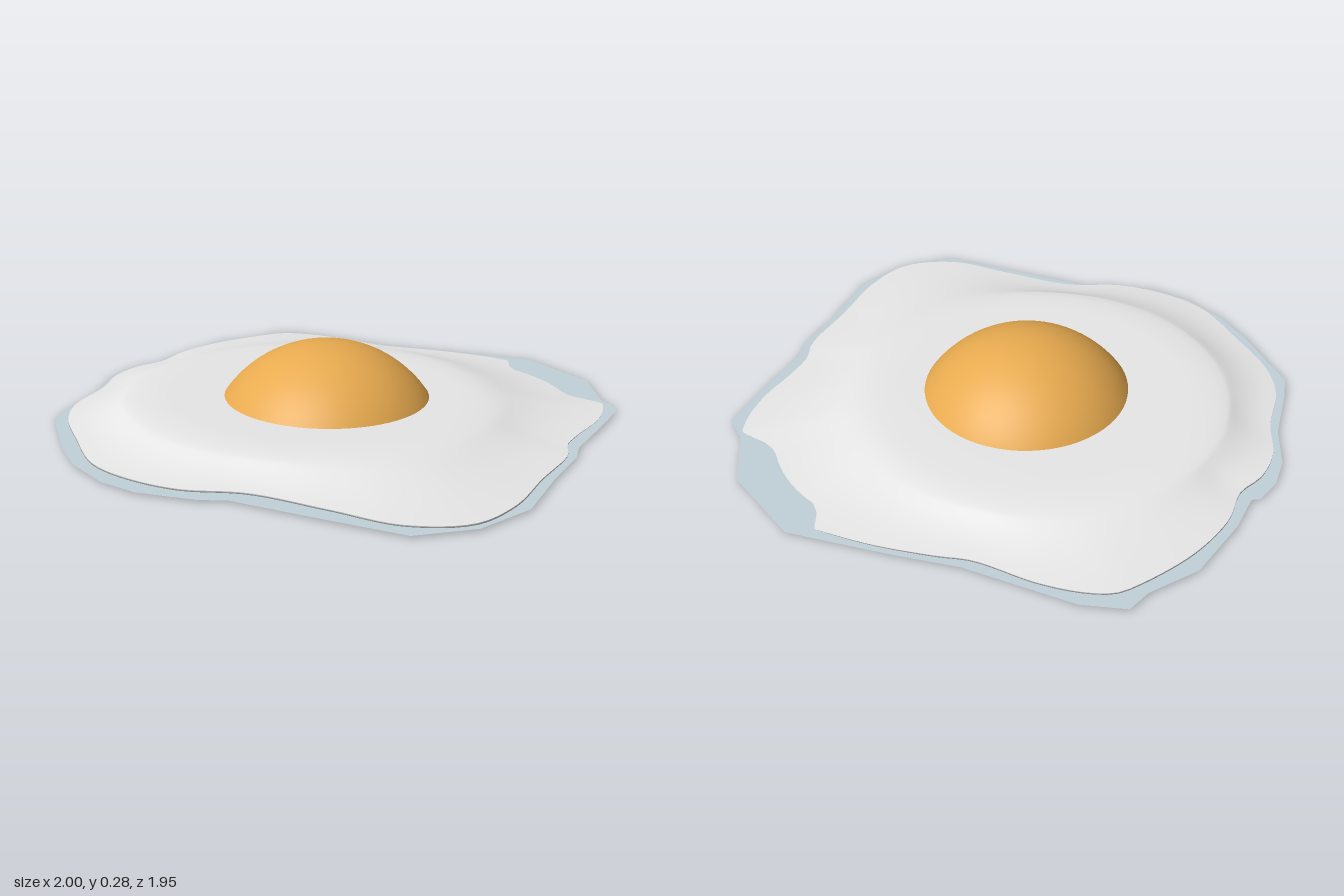
import * as THREE from 'three';

const mat = (name, color, side = THREE.FrontSide) => {
  const m = new THREE.MeshStandardMaterial({ color, side });
  m.name = name;
  return m;
};

// Outlines as x, z pairs seen from above
const SKIRT = [
  -0.55, -0.97, -0.39, -0.98, 0, -0.89, 0.25, -0.875, 0.61, -0.84, 0.86, -0.62, 0.93, -0.4, 1, -0.31,
  0.95, -0.1, 0.89, 0.13, 0.89, 0.22, 0.84, 0.42, 0.79, 0.69, 0.66, 0.87, 0.47, 0.97, 0.17, 0.92,
  -0.13, 0.865, -0.23, 0.885, -0.44, 0.88, -0.58, 0.83, -0.73, 0.72, -0.83, 0.6, -1, 0.33, -1, 0.23,
  -0.98, 0, -1, -0.17, -0.98, -0.29, -0.93, -0.38, -0.9, -0.39, -0.86, -0.53, -0.75, -0.76, -0.6, -0.89,
];
const RIM = [
  -0.57, -0.87, -0.5, -0.92, -0.4, -0.935, -0.25, -0.92, -0.03, -0.86, 0.1, -0.86, 0.36, -0.84, 0.62, -0.77,
  0.8, -0.63, 0.92, -0.42, 0.945, -0.3, 0.93, -0.15, 0.88, 0, 0.85, 0.12, 0.86, 0.22, 0.8, 0.45,
  0.74, 0.7, 0.64, 0.86, 0.44, 0.925, 0.2, 0.88, -0.08, 0.83, -0.3, 0.86, -0.5, 0.82, -0.65, 0.74,
  -0.8, 0.55, -0.92, 0.37, -0.965, 0.22, -0.95, 0, -0.965, -0.15, -0.93, -0.28, -0.86, -0.38, -0.83, -0.52,
  -0.73, -0.7,
];
const pairs = (list) => Array.from({ length: list.length / 2 }, (_, i) => [list[2 * i], list[2 * i + 1]]);

const SHEET_Y = 0.008;
const CENTRE = [-0.1, 0];

// The white leans: higher at the front right edge, dipping under the skirt at one back corner
const rimHeight = (x, z) => Math.max(0,
  0.02 - 0.01 * x + 0.005 * z - 0.012 * THREE.MathUtils.smoothstep((x - z) / Math.SQRT2, 0.9, 1.02));
const plateauHeight = (x, z) => 0.083 - 0.011 * x + 0.008 * z;

// Skins closed rings of points, listed from the rim to the centre
function skin(rings, up) {
  const n = rings[0].length;
  const index = [];
  for (let r = 0; r < rings.length - 1; r++) {
    for (let i = 0; i < n; i++) {
      const j = (i + 1) % n;
      const a = r * n + i, b = r * n + j, c = b + n, d = a + n;
      if (up) index.push(a, c, b, a, d, c);
      else index.push(a, b, c, a, c, d);
    }
  }
  const g = new THREE.BufferGeometry();
  g.setAttribute('position', new THREE.Float32BufferAttribute(rings.flat(2), 3));
  g.setIndex(index);
  g.computeVertexNormals();
  return g;
}

export function createModel() {
  const group = new THREE.Group();
  const white = mat('eggWhite', 0xf8f8f8);
  const edge = mat('paleBlueGrey', 0xc2d1d8, THREE.DoubleSide);
  const gold = mat('yolkGold', 0xfab856);
  const add = (name, geometry, material) => {
    const mesh = new THREE.Mesh(geometry, material);
    mesh.name = name;
    group.add(mesh);
    return mesh;
  };

  // Thin angular skirt around the white
  const shape = new THREE.Shape(pairs(SKIRT).map(([x, z]) => new THREE.Vector2(x, -z)));
  add('skirt', new THREE.ShapeGeometry(shape).rotateX(-Math.PI / 2), edge).position.y = SHEET_Y;

  // Smooth rim curve and the raised plateau inside it
  const curve = new THREE.CatmullRomCurve3(pairs(RIM).map(([x, z]) => new THREE.Vector3(x, 0, z)), true);
  const rim = curve.getSpacedPoints(160).slice(0, -1);
  const ridge = rim.map((p) => {
    const a = Math.atan2(p.z - CENTRE[1], p.x - CENTRE[0]);
    return [CENTRE[0] + 0.69 * Math.cos(a), CENTRE[1] + 0.67 * Math.sin(a)];
  });

  // Slope rings: [blend from rim to ridge, share of plateau height]
  const slope = [[0, 0], [0.2, 0.07], [0.4, 0.18], [0.6, 0.34], [0.78, 0.56], [0.9, 0.73], [1, 0.85]];
  const top = slope.map(([t, h]) => rim.map((p, i) => {
    const x = THREE.MathUtils.lerp(p.x, ridge[i][0], t);
    const z = THREE.MathUtils.lerp(p.z, ridge[i][1], t);
    return [x, THREE.MathUtils.lerp(rimHeight(p.x, p.z), plateauHeight(x, z), h), z];
  }));
  // Plateau rings: [scale of ridge, share of plateau height]
  for (const [s, h] of [[0.94, 0.94], [0.87, 0.985], [0.78, 1], [0.4, 1], [0.001, 1]]) {
    top.push(ridge.map(([rx, rz]) => {
      const x = CENTRE[0] + (rx - CENTRE[0]) * s;
      const z = CENTRE[1] + (rz - CENTRE[1]) * s;
      return [x, plateauHeight(x, z) * h, z];
    }));
  }
  add('eggWhiteTop', skin(top, true), white);

  // Underside of the white, with a short wall at the rim
  const under = [top[0], top[0].map(([x, y, z]) => [x, Math.min(y, Math.max(y - 0.006, 0.009)), z])];
  for (const s of [0.9, 0.001]) {
    under.push(rim.map((p) => [p.x * s, 0.012, p.z * s]));
  }
  add('eggWhiteUnderside', skin(under, false), white);

  // Small bulge of white showing beneath the skirt
  const spot = add('undersideSpot', new THREE.CircleGeometry(0.068, 24).rotateX(Math.PI / 2), white);
  spot.position.set(-0.1, 0.004, 0.61);

  // Domed yolk
  const R = 0.461;
  const yolk = add('yolk', new THREE.SphereGeometry(R, 64, 24, 0, Math.PI * 2, 0, 1.03), gold);
  yolk.position.set(-0.05, 0.281 - R, 0.01);

  return group;
}
